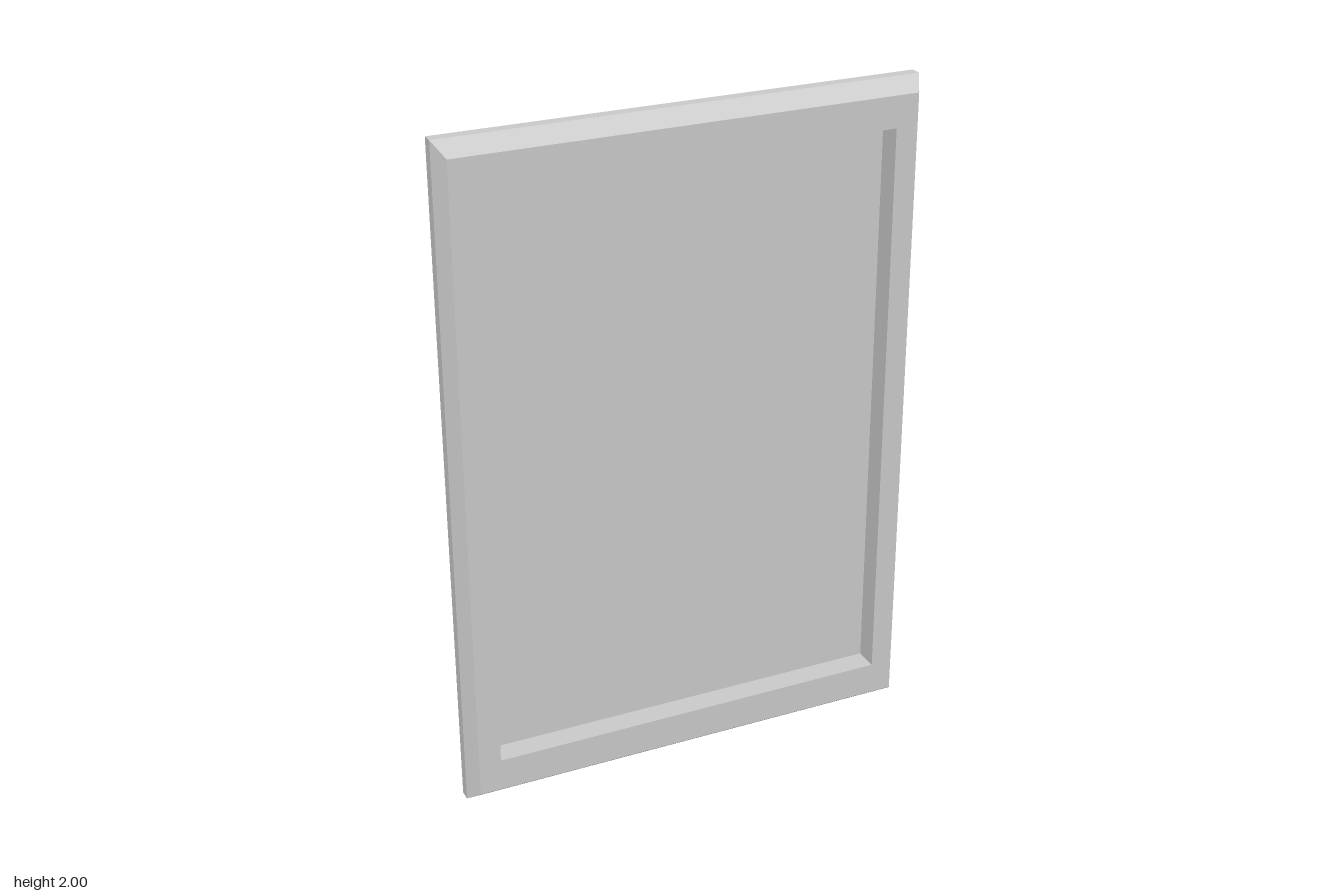
import * as THREE from 'three';

const HALF_W = 0.705, HEIGHT = 2, BACK = -0.042, FRONT = 0.042;
const OPEN_X = 0.612, OPEN_BOTTOM = 0.138, OPEN_TOP = 1.868;
const PANEL_FRONT = -0.031;

// Corners of a rectangle at depth z, counter-clockwise from the front
const ring = (hw, y0, y1, z) => [[-hw, y0, z], [hw, y0, z], [hw, y1, z], [-hw, y1, z]];

// Mitred moulding: flat quads joining successive rectangular rings
function mouldingGeometry(rings) {
  const pos = [];
  rings.forEach((a, r) => {
    const b = rings[(r + 1) % rings.length];
    for (let i = 0; i < 4; i++) {
      const j = (i + 1) % 4;
      pos.push(...a[i], ...a[j], ...b[j], ...a[i], ...b[j], ...b[i]);
    }
  });
  const geo = new THREE.BufferGeometry();
  geo.setAttribute('position', new THREE.Float32BufferAttribute(pos, 3));
  geo.computeVertexNormals();
  return geo;
}

export function createModel() {
  const group = new THREE.Group();
  group.name = 'pictureFrame';
  const material = new THREE.MeshStandardMaterial({ color: 0xcccccc, flatShading: true });

  // Moulding: straight side, outer bevel, front face, inner wall, back face
  const frame = new THREE.Mesh(mouldingGeometry([
    ring(HALF_W, 0, HEIGHT, BACK),
    ring(HALF_W, 0, HEIGHT, -0.008),
    ring(0.678, 0.039, HEIGHT - 0.039, FRONT),
    ring(OPEN_X, OPEN_BOTTOM, OPEN_TOP, FRONT),
    ring(OPEN_X, OPEN_BOTTOM, OPEN_TOP, BACK),
  ]), material);
  frame.name = 'frame';
  group.add(frame);

  // Recessed panel, flush with the back
  const panel = new THREE.Mesh(
    new THREE.BoxGeometry(OPEN_X * 2, OPEN_TOP - OPEN_BOTTOM, PANEL_FRONT - BACK), material);
  panel.position.set(0, (OPEN_TOP + OPEN_BOTTOM) / 2, (PANEL_FRONT + BACK) / 2);
  panel.name = 'backPanel';
  group.add(panel);

  return group;
}
